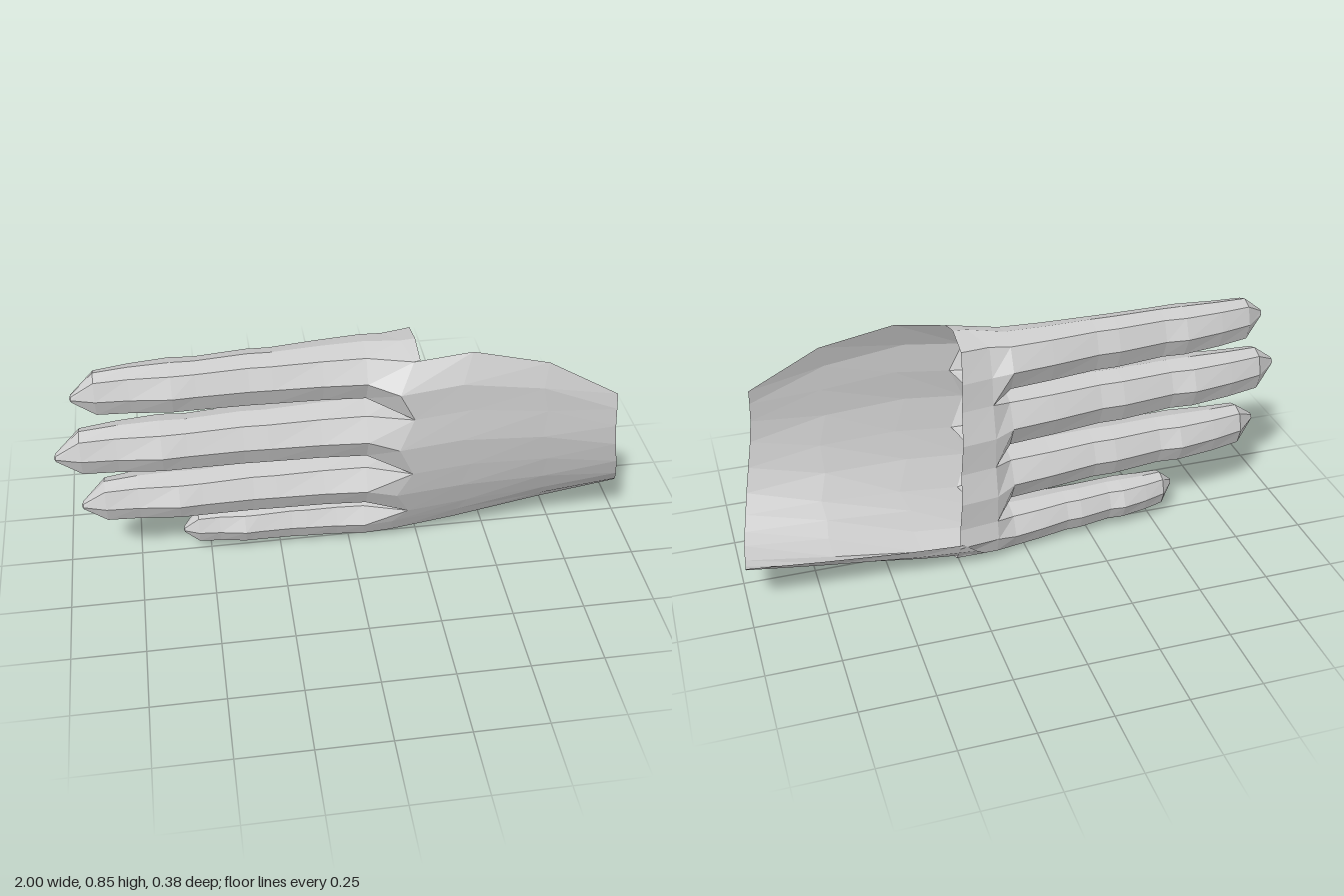
import * as THREE from 'three';

const material = new THREE.MeshStandardMaterial({
  color: 0xcccccc, flatShading: true, side: THREE.DoubleSide,
});

// Skin a list of cross-sections (rows of [x, y, z]) running along +x
function loft(name, rows, closed) {
  const n = rows[0].length;
  const pos = rows.flat(2);
  const index = [];
  for (let i = 0; i < rows.length - 1; i++) {
    for (let j = 0; j < (closed ? n : n - 1); j++) {
      const k = (j + 1) % n;
      const a = i * n + j, b = (i + 1) * n + j, c = (i + 1) * n + k, d = i * n + k;
      index.push(a, b, c, a, c, d);
    }
  }
  const g = new THREE.BufferGeometry();
  g.setAttribute('position', new THREE.Float32BufferAttribute(pos, 3));
  g.setIndex(index);
  const flat = g.toNonIndexed();
  flat.computeVertexNormals();
  const mesh = new THREE.Mesh(flat, material);
  mesh.name = name;
  return mesh;
}

// Eight-sided ring, starting at the front ridge and turning upwards
function ring(x, yc, ry, zFront, zBack) {
  const zc = (zFront + zBack) / 2, rz = (zFront - zBack) / 2;
  const c = 0.8, d = 0.66;
  return [[0, 1], [c, d], [1, 0], [c, -d], [0, -1], [-c, -d], [-1, 0], [-c, d]]
    .map(([v, w]) => [x, yc + ry * v, zc + rz * w]);
}

// Finger shape from tip to root: fraction of length, width, front z, back z
const profile = [
  [0, 0.002, 0.078, 0.077], [0.006, 0.14, 0.088, 0.06], [0.085, 0.84, 0.113, -0.015],
  [0.2, 0.9, 0.118, -0.04], [0.34, 0.95, 0.135, -0.06], [0.42, 0.95, 0.13, -0.05],
  [0.6, 1.0, 0.125, -0.07], [0.68, 1.0, 0.127, -0.068], [0.85, 1.04, 0.13, -0.092],
  [1, 1.08, 0.14, -0.108],
];

const fingers = [
  { name: 'indexFinger', tip: -0.925, yTip: 0.738, yRoot: 0.736, r: 0.092, dz: -0.01, s: 0.92 },
  { name: 'middleFinger', tip: -1.0, yTip: 0.52, yRoot: 0.515, r: 0.096, dz: 0.005, s: 1 },
  { name: 'ringFinger', tip: -0.933, yTip: 0.3, yRoot: 0.295, r: 0.09, dz: -0.005, s: 1 },
  { name: 'littleFinger', tip: -0.595, yTip: 0.108, yRoot: 0.09, r: 0.074, dz: -0.045, s: 0.82 },
];

// Knuckle line: heights and depths where neighbouring fingers meet
const webY = [0.82, 0.62, 0.39, 0.175, 0.038];
const webFront = [0.13, 0.178, 0.175, 0.11, 0.042];
const webBack = [-0.06, -0.1, -0.125, -0.14, -0.125];
const midFront = [0.176, 0.19, 0.154, 0.08];
const midBack = [-0.092, -0.13, -0.148, -0.152];

function knuckleRing(i) {
  const t = webY[i], b = webY[i + 1], mid = (t + b) / 2;
  const zt = (webFront[i] + webBack[i]) / 2, zb = (webFront[i + 1] + webBack[i + 1]) / 2;
  const top = i === 0 ? 0.846 : t, bottom = i === 3 ? 0 : b;
  return [
    [0.15, mid, midFront[i]], [0.2, t, webFront[i]], [0.17, top, zt], [0.12, t, webBack[i]],
    [0.12, mid, midBack[i]], [0.12, b, webBack[i + 1]], [i === 3 ? 0.13 : 0.17, bottom, zb],
    [i === 3 ? 0.15 : 0.2, b, webFront[i + 1]],
  ];
}

// Slanted wrist rim of the sleeve, from the top round to the lower lip
const sleeveRim = [
  [0.895, 0.655, 0.175], [0.895, 0.6, 0.186], [0.898, 0.53, 0.19], [0.908, 0.45, 0.187],
  [0.926, 0.36, 0.168], [0.945, 0.28, 0.135], [0.96, 0.22, 0.092], [0.973, 0.18, 0.048],
  [0.983, 0.153, 0.005], [0.99, 0.14, -0.06], [0.993, 0.143, -0.1], [0.996, 0.158, -0.14],
  [1, 0.2, -0.19],
];

function sleeveSection(start, t) {
  const e = t ** 1.3;
  return start.map((p, i) => {
    const q = sleeveRim[i];
    const bulge = 0.29 * t * (1 - t) * (1 - i / 12) ** 2;
    return [
      p[0] + (q[0] - p[0]) * t,
      p[1] + (q[1] - p[1]) * e + bulge,
      p[2] + (q[2] - p[2]) * e,
    ];
  }).reverse();
}

export function createModel() {
  const group = new THREE.Group();
  group.name = 'glove';

  // Hollow fingers that widen into the knuckle line
  const knuckles = fingers.map((f, i) => {
    const rows = profile.map(([u, w, zf, zb]) => ring(
      f.tip + (0.05 - f.tip) * u, f.yTip + (f.yRoot - f.yTip) * u,
      f.r * w, zf * f.s + f.dz, zb * f.s + f.dz));
    const root = knuckleRing(i);
    rows.push(root);
    group.add(loft(f.name, rows, true));
    return root;
  });

  // Strap across the palm, from the top edge round to the little finger side
  const inner = [...knuckles[0].slice(1, 5)];
  for (let i = 1; i < 4; i++) inner.push(knuckles[i][3], knuckles[i][4]);
  inner.push(knuckles[3][5], knuckles[3][6]);
  const outer = inner.map(([, y, z]) => [
    0.27 - 0.06 * y, y > 0.8 ? y + 0.004 : y, y > 0.1 && z < -0.055 ? z - 0.016 : z,
  ]);
  group.add(loft('palmStrap', [inner, outer], false));

  // Open sleeve from the knuckle line over the back of the hand and lower edge
  const start = knuckles.flatMap((k) => [k[1], k[0]]);
  start.push(knuckles[3][7], [0.13, 0, -0.0415], [0.16, 0.038, -0.127],
    [0.2, 0.075, -0.155], [0.25, 0.12, -0.17]);
  const stations = [0, 0.28, 0.65, 1];
  group.add(loft('handSleeve', stations.map((t) => sleeveSection(start, t)), false));
  return group;
}
